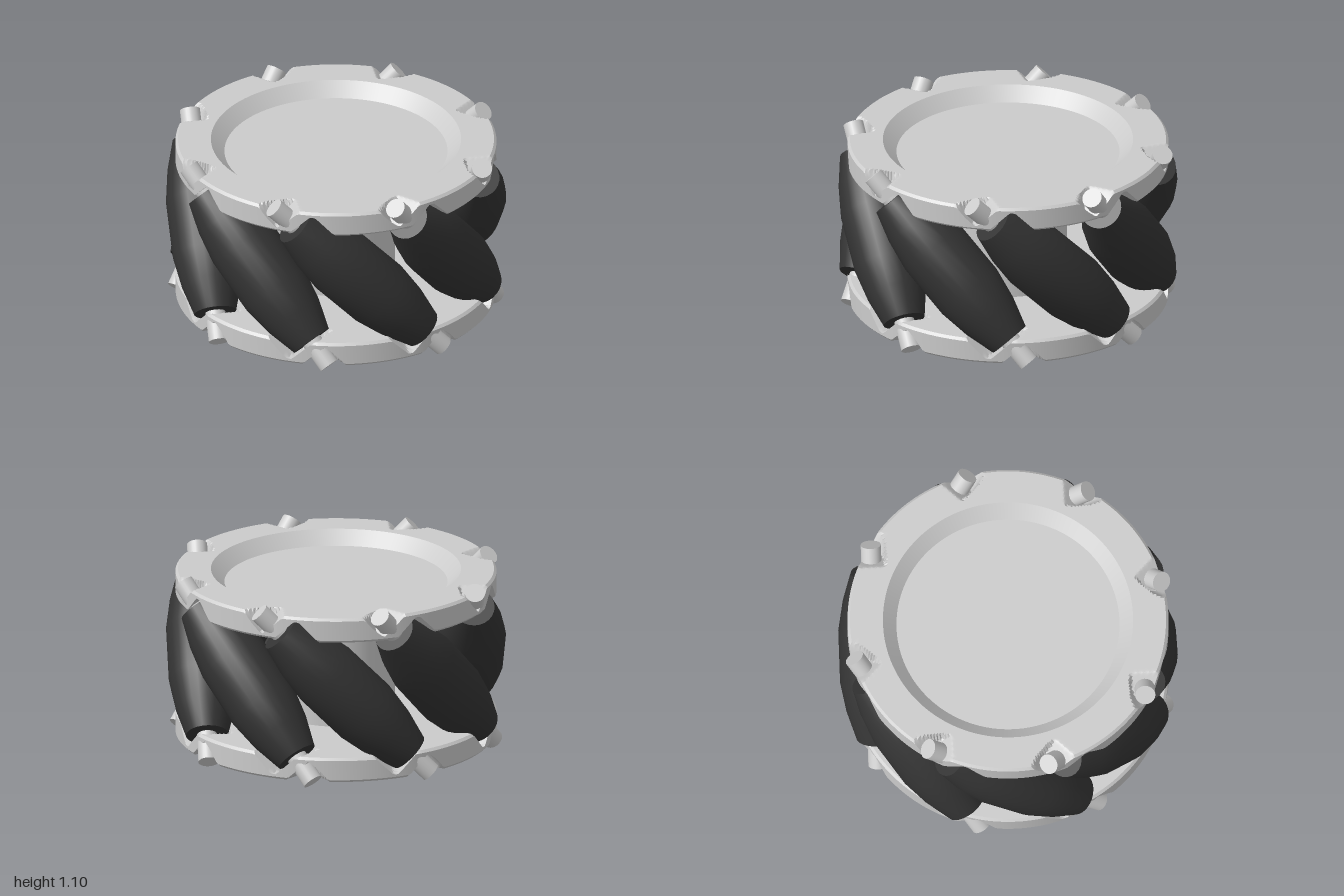
import * as THREE from 'three';
import { toCreasedNormals } from 'three/addons/utils/BufferGeometryUtils.js';

const COUNT = 8;                 // rollers around the wheel
const STEP = (Math.PI * 2) / COUNT;
const MID = 0.55;                // height of the wheel's middle plane
const AXIS = 0.79;               // distance from wheel axis to roller axes
const grey = new THREE.MeshStandardMaterial({ color: 0xcccccc });
const rubber = new THREE.MeshStandardMaterial({ color: 0x333333 });

// Fold a point into the sector of one axle, whose line is y - MID = -x at z = AXIS
function fold(x, z) {
  const r = Math.hypot(x, z), start = 0.05;
  const a = Math.atan2(-x, z) - start;
  const f = a - Math.floor(a / STEP) * STEP + start;
  return [-r * Math.sin(f), r * Math.cos(f)];
}

// Upper limit of the plate: a slanted seat square to the axle, with a rounded outer wall
function pocketFloor(x, z) {
  const dz = Math.abs(z - AXIS), R = 0.08;
  const wall = Math.sqrt(Math.max(0, R * R - dz * dz));
  const seat = MID + 0.62 * Math.SQRT2 + x;
  const side = MID - x - Math.SQRT2 * wall;
  return Math.max(seat, side, 0.93) + 8 * Math.max(0, dz - R);
}

// Lower limit of the plate: room for the roller end, open towards the rim
function rollerClearance(x, z) {
  const R = 0.14, dz = Math.min(0, z - AXIS);
  if (dz < -R) return 0;
  const h = Math.sqrt(R * R - dz * dz);
  return Math.min(MID + 0.56 * Math.SQRT2 + x, MID - x + Math.SQRT2 * h, 1.03);
}

// Dished disc, turned on a lathe and then cut by the two rules above
function plateGeometry() {
  const pts = [], N = 18, r0 = 0.74, r1 = 0.935;
  const add = (r, y) => pts.push(new THREE.Vector2(r, y));
  add(0, 0.91);
  add(0.64, 0.91);
  for (let i = 0; i <= N; i++) add(0.68 + (r1 - 0.68) * i / N, 0.91);
  add(0.95, 0.925);
  add(0.95, 1.045);
  for (let i = N; i >= 0; i--) add(r0 + (r1 - r0) * i / N, 1.06);
  add(0.66, 0.98);
  add(0, 0.98);
  const geo = new THREE.LatheGeometry(pts, 360);
  const p = geo.attributes.position;
  for (let i = 0; i < p.count; i++) {
    const y = p.getY(i), x0 = p.getX(i), z0 = p.getZ(i);
    if (Math.hypot(x0, z0) < 0.67) continue;
    const [x, z] = fold(x0, z0);
    const top = Math.min(1.06, pocketFloor(x, z));
    if (y > 0.95) p.setY(i, Math.min(y, top));
    else p.setY(i, Math.max(y, Math.min(rollerClearance(x, z), top - 0.015)));
  }
  geo.deleteAttribute('normal');
  geo.deleteAttribute('uv');
  return toCreasedNormals(geo, 0.5);
}

// Barrel whose outer line follows the wheel's rolling circle
function rollerGeometry() {
  const pts = [[0, -0.54], [0.125, -0.54], [0.178, -0.36], [0.21, -0.17],
    [0.21, 0.17], [0.178, 0.36], [0.125, 0.54], [0, 0.54]];
  const geo = new THREE.LatheGeometry(pts.map(([r, y]) => new THREE.Vector2(r, y)), 24);
  return toCreasedNormals(geo, 0.6);
}

export function createModel() {
  const wheel = new THREE.Group();
  wheel.name = 'omnidirectionalWheel';
  const add = (parent, name, geo, mat) => {
    const m = new THREE.Mesh(geo, mat);
    m.name = name;
    parent.add(m);
    return m;
  };

  // Side plates: the lower one is the upper one turned over
  const plate = plateGeometry();
  add(wheel, 'upperPlate', plate, grey);
  const lower = add(wheel, 'lowerPlate', plate, grey);
  lower.rotation.x = Math.PI;
  lower.position.y = 2 * MID;

  // Central hub between the plates
  const hub = add(wheel, 'hub', new THREE.CylinderGeometry(0.35, 0.35, 0.76, 48), grey);
  hub.position.y = MID;

  // Slanted rollers with their axles
  const barrel = rollerGeometry();
  const pin = new THREE.CylinderGeometry(0.06, 0.06, 1.44, 24);
  for (let i = 0; i < COUNT; i++) {
    const arm = new THREE.Group();
    arm.name = 'rollerUnit';
    arm.rotation.y = i * STEP;
    const tilt = new THREE.Group();
    tilt.name = 'rollerTilt';
    tilt.position.set(0, MID, AXIS);
    tilt.rotation.z = Math.PI / 4;
    add(tilt, 'roller', barrel, rubber);
    add(tilt, 'axle', pin, grey);
    arm.add(tilt);
    wheel.add(arm);
  }
  return wheel;
}
